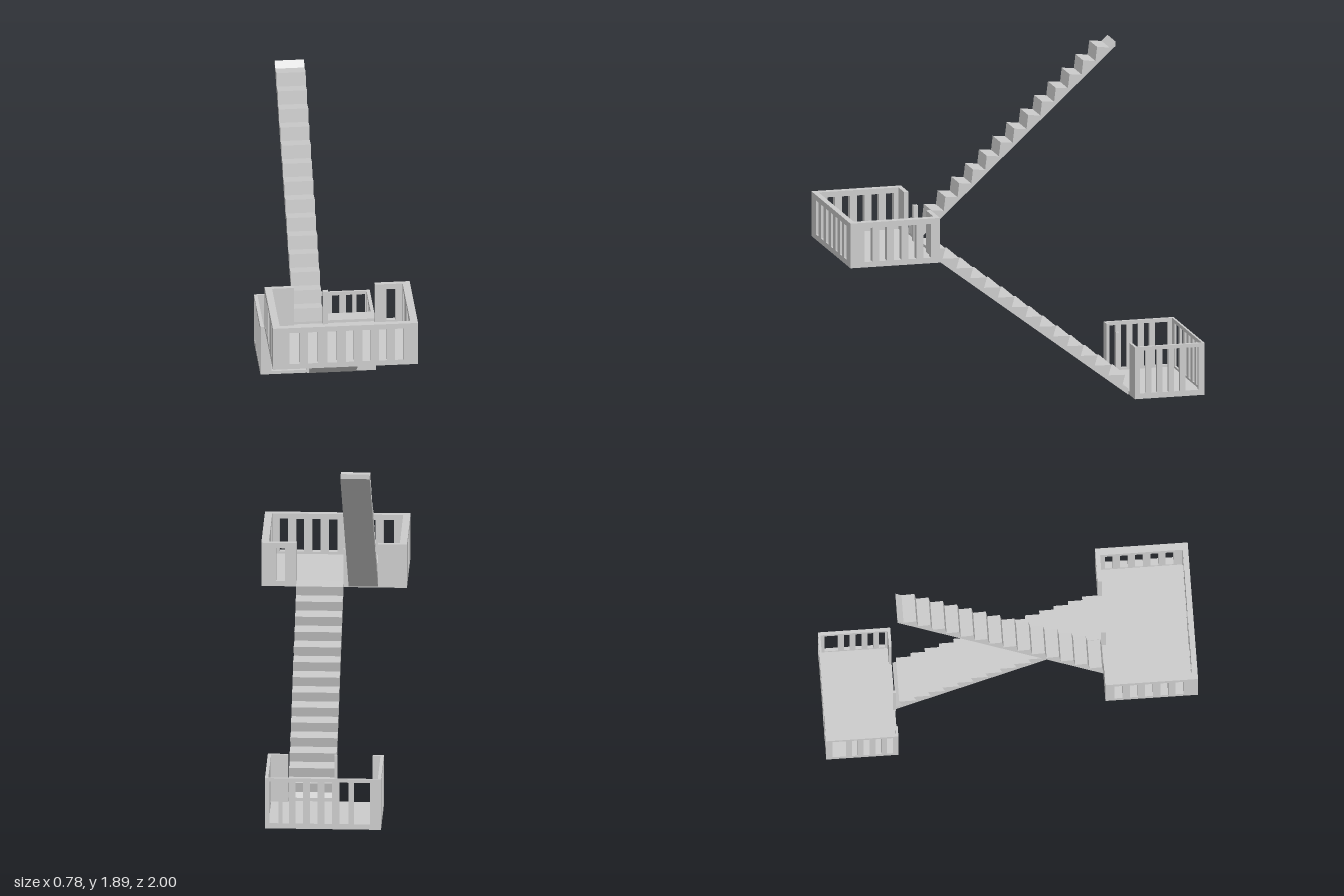
import * as THREE from 'three';

const material = new THREE.MeshStandardMaterial({ color: 0xcccccc, flatShading: true });

// Prism from a 2D outline (with optional rectangular slots), extruded by depth
function prism(name, points, depth, slots = []) {
  const shape = new THREE.Shape(points.map(([a, b]) => new THREE.Vector2(a, b)));
  for (const [a0, a1, b0, b1] of slots) {
    shape.holes.push(new THREE.Path([[a0, b0], [a0, b1], [a1, b1], [a1, b0]].map(([a, b]) => new THREE.Vector2(a, b))));
  }
  const mesh = new THREE.Mesh(new THREE.ExtrudeGeometry(shape, { depth, bevelEnabled: false }), material);
  mesh.name = name;
  return mesh;
}

const rect = (a0, a1, b0, b1) => [[a0, b0], [a1, b0], [a1, b1], [a0, b1]];

// Wall running along x, filling z0..z1
function wallX(name, x0, x1, z0, z1, y, slots = [], sy = y) {
  const m = prism(name, rect(x0, x1, ...y), z1 - z0, slots.map((s) => [...s, ...sy]));
  m.position.z = z0;
  return m;
}

// Outline drawn in (z, y), filling x0..x1
function alongZ(name, points, x0, x1, slots = []) {
  const m = prism(name, points, x1 - x0, slots);
  m.rotation.y = -Math.PI / 2;
  m.position.x = x1;
  return m;
}

function wallZ(name, z0, z1, x0, x1, y, slots, sy) {
  return alongZ(name, rect(z0, z1, ...y), x0, x1, slots.map((s) => [...s, ...sy]));
}

function box(name, x0, x1, y0, y1, z0, z1) {
  const m = new THREE.Mesh(new THREE.BoxGeometry(x1 - x0, y1 - y0, z1 - z0), material);
  m.position.set((x0 + x1) / 2, (y0 + y1) / 2, (z0 + z1) / 2);
  m.name = name;
  return m;
}

// Evenly spaced slots
const slotRow = (start, pitch, width, n) =>
  Array.from({ length: n }, (_, i) => [start + i * pitch, start + i * pitch + width]);

function upperLanding() {
  const g = new THREE.Group();
  g.name = 'upperLanding';
  const y = [0.845, 1.092], sy = [0.875, 1.062];
  const side = slotRow(0.55, 0.082, 0.043, 5);
  const front = [[-0.305, -0.25], [-0.205, -0.15], [-0.1, -0.047], [0, 0.045], [0.09, 0.135], [0.178, 0.222], [0.265, 0.31]];
  g.add(
    box('upperFloor', -0.394, 0.39, 0.845, 0.862, 0.5, 1),
    wallX('upperFrontWall', -0.394, 0.39, 0.97, 1, y, front, sy),
    wallZ('upperLeftWall', 0.525, 0.97, 0.35, 0.39, y, side, sy),
    wallZ('upperRightWall', 0.525, 0.97, -0.394, -0.355, y, side, sy),
    // Back wall leaves gaps for the two flights
    wallX('upperBackPanelRight', -0.394, -0.238, 0.5, 0.525, y),
    wallX('upperBackPanelLeft', 0.2, 0.39, 0.5, 0.525, y, [[0.262, 0.31]], sy),
    box('upperPost', -0.08, -0.052, 0.86, 1.06, 0.5, 0.525),
  );
  return g;
}

function lowerLanding() {
  const g = new THREE.Group();
  g.name = 'lowerLanding';
  const y = [0, 0.287], sy = [0.03, 0.267];
  const side = [...slotRow(-0.925, 0.0635, 0.032, 5).slice(1), [-0.965, -0.893]];
  const back = [[-0.255, -0.17], [-0.14, -0.092], ...slotRow(-0.05, 0.0775, 0.04, 3), [0.18, 0.215], [0.238, 0.285]];
  g.add(
    box('lowerFloor', -0.315, 0.31, 0, 0.018, -1, -0.61),
    wallX('lowerBackWall', -0.315, 0.31, -1, -0.988, y, back, sy),
    wallZ('lowerLeftWall', -0.988, -0.625, 0.292, 0.31, y, side, sy),
    wallZ('lowerRightWall', -0.988, -0.625, -0.315, -0.297, y, side, sy),
    // Front side is open for the flight, with a post beside it
    wallX('lowerFrontPanelRight', -0.315, -0.255, -0.625, -0.61, y),
    wallX('lowerFrontPanelLeft', 0.2, 0.31, -0.625, -0.61, y),
    box('lowerPost', -0.065, -0.05, 0, 0.287, -0.622, -0.606),
  );
  return g;
}

// Lower flight: rises towards +z with overhanging treads
function lowerFlight() {
  const p = [[0.505, 0.845], [-0.605, 0], [-0.605, 0.035]];
  for (let i = 0; i < 14; i++) {
    const z = -0.587 + 0.0772 * i, y = 0.112 + 0.0587 * i;
    p.push([z + 0.016, y - 0.056], [z, y]);
  }
  p.push([0.505, 0.878]);
  return alongZ('lowerFlight', p.reverse(), -0.053, 0.2);
}

// Upper flight: rises towards -z
function upperFlight() {
  const p = [[-0.61, 1.863], [0.505, 0.845], [0.505, 0.875]];
  for (let i = 0; i < 14; i++) {
    const z = 0.493 - 0.077 * i, y = 0.95 + 0.0704 * i;
    p.push([z + 0.009, y - 0.077], [z, y]);
  }
  p.push([-0.577, 1.858], [-0.61, 1.89]);
  return alongZ('upperFlight', p, -0.238, -0.08);
}

export function createModel() {
  const model = new THREE.Group();
  model.name = 'staircase';
  model.add(lowerLanding(), lowerFlight(), upperLanding(), upperFlight());
  return model;
}
